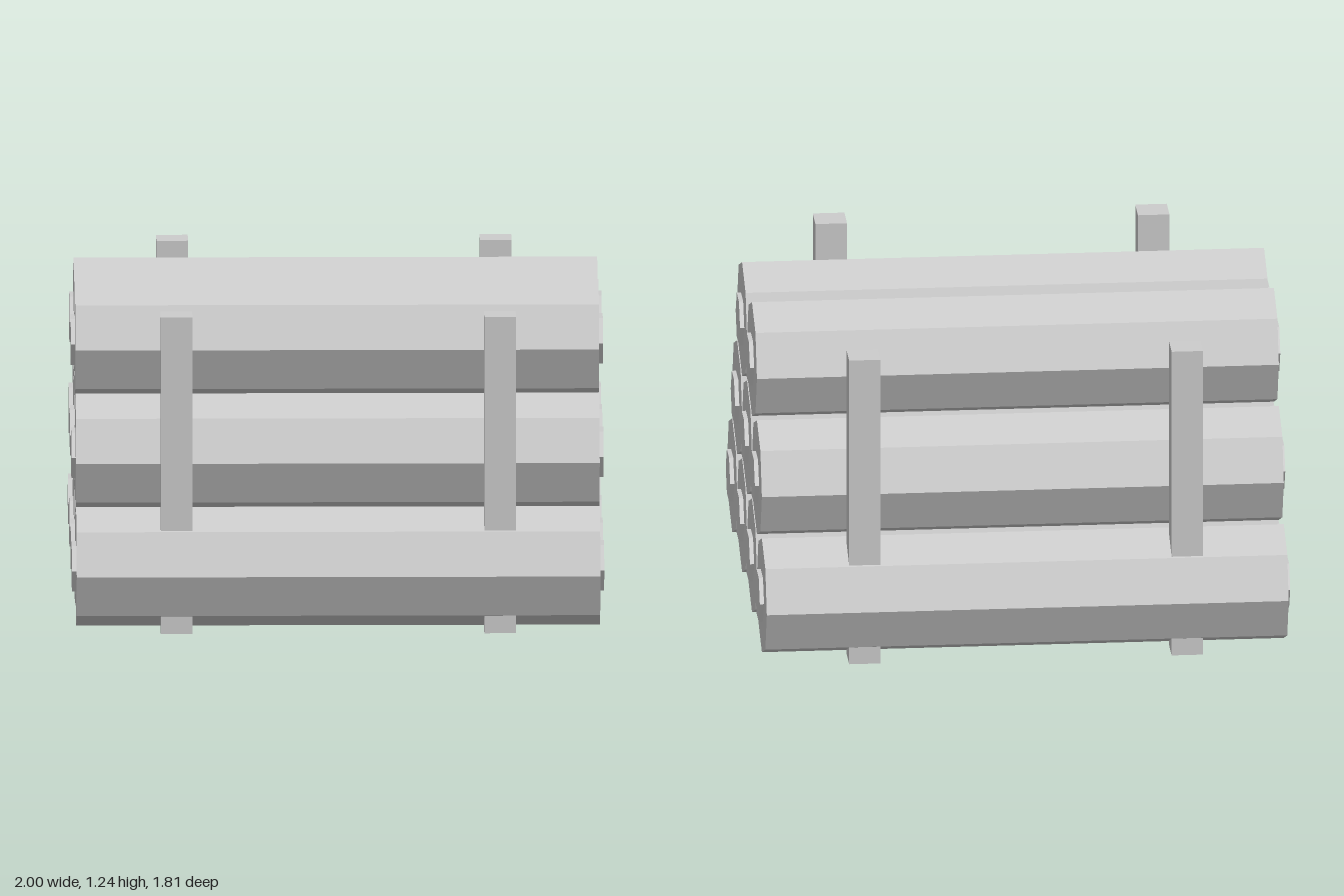
import * as THREE from 'three';

export function createModel() {
  const model = new THREE.Group();
  model.name = 'logStack';
  const grey = new THREE.MeshStandardMaterial({ color: 0xcccccc, flatShading: true });
  grey.name = 'light grey';

  const add = (parent, name, geometry, x, y, z) => {
    const mesh = new THREE.Mesh(geometry, grey);
    mesh.name = name;
    mesh.position.set(x, y, z);
    parent.add(mesh);
  };

  // Shared shapes, lying along x
  const R = 0.2267;
  const logGeo = new THREE.CylinderGeometry(R, R, 1.968, 8).rotateZ(Math.PI / 2);
  const coreGeo = new THREE.CylinderGeometry(0.101, 0.101, 0.03, 6).rotateZ(Math.PI / 2);
  const postGeo = new THREE.BoxGeometry(0.119, 1.21, 0.121);

  // Pyramid of octagonal logs with a raised hexagonal core at each end
  [4, 3, 2].forEach((count, row) => {
    for (let i = 0; i < count; i++) {
      const log = new THREE.Group();
      log.name = 'log';
      log.position.set(0, 0.23 + row * 0.391, (i - (count - 1) / 2) * R * 2);
      add(log, 'logBody', logGeo, 0, 0, 0);
      for (const side of [-1, 1]) add(log, 'logCore', coreGeo, side * 0.985, 0, 0);
      model.add(log);
    }
  });

  // Four upright stakes holding the stack
  for (const x of [-0.608, 0.608])
    for (const z of [-0.773, 0.773]) add(model, 'stake', postGeo, x, 0.605, z);

  return model;
}
